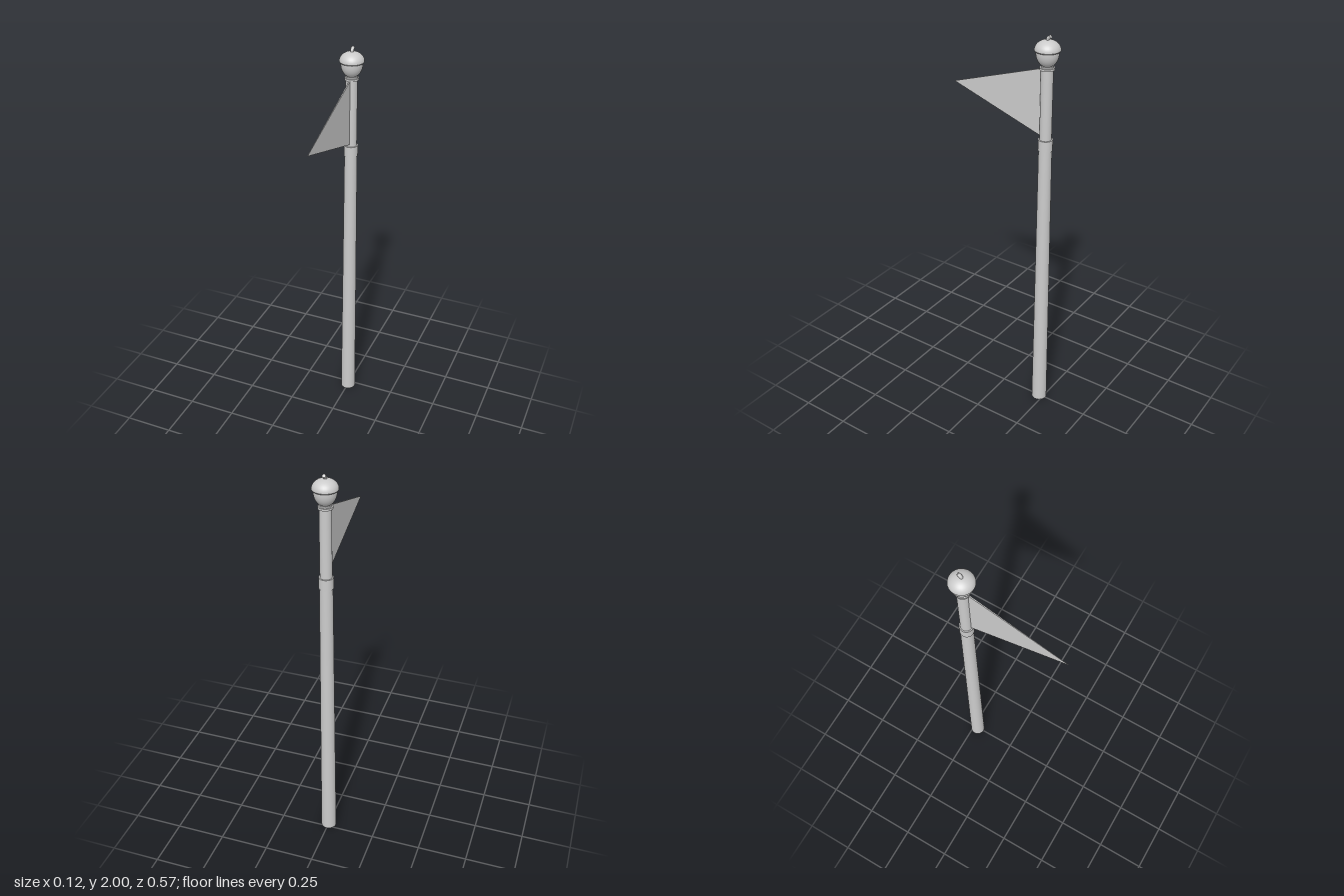
import * as THREE from 'three';

const POLE_Z = -0.226;

export function createModel() {
  const group = new THREE.Group();
  const material = new THREE.MeshStandardMaterial({ color: 0xcccccc });
  const sheet = new THREE.MeshStandardMaterial({ color: 0xcccccc, side: THREE.DoubleSide, flatShading: true });

  const add = (name, geometry, mat = material) => {
    const mesh = new THREE.Mesh(geometry, mat);
    mesh.name = name;
    group.add(mesh);
    return mesh;
  };
  // Solid of revolution around the pole axis; points are [radius, height]
  const turned = (name, points) => {
    const profile = points.map(([r, y]) => new THREE.Vector2(r, y));
    add(name, new THREE.LatheGeometry(profile, 32)).position.z = POLE_Z;
  };
  // Tapered round section between two heights
  const section = (name, y0, y1, r0, r1) => {
    const mesh = add(name, new THREE.CylinderGeometry(r1, r0, y1 - y0, 32));
    mesh.position.set(0, (y0 + y1) / 2, POLE_Z);
  };

  // Pole: tapered shaft, joint sleeve and slimmer upper staff
  section('lowerPole', 0, 1.46, 0.039, 0.031);
  section('jointSleeve', 1.455, 1.51, 0.034, 0.034);
  section('upperPole', 1.5, 1.86, 0.028, 0.028);
  section('neckRing', 1.843, 1.853, 0.034, 0.034);

  // Acorn finial: rounded nut, overhanging cap and bent stem
  const nut = [[0, 1.85], [0.022, 1.853]];
  for (let i = 2; i <= 10; i++) {
    const a = -Math.PI / 2 + (i / 10) * (Math.PI / 2);
    nut.push([0.052 * Math.cos(a), 1.92 + 0.066 * Math.sin(a)]);
  }
  nut.push([0.052, 1.935]);
  turned('finialNut', nut);

  const cap = [];
  for (let i = 0; i <= 10; i++) {
    const a = (i / 10) * (Math.PI / 2);
    cap.push([0.059 * Math.cos(a), 1.932 + 0.045 * Math.sin(a)]);
  }
  turned('finialCap', cap);
  turned('finialCapRim', [[0.045, 1.928], [0.057, 1.928], [0.059, 1.932]]);

  const stemPath = new THREE.CatmullRomCurve3([
    new THREE.Vector3(0, 1.968, POLE_Z + 0.002),
    new THREE.Vector3(0, 1.983, POLE_Z - 0.001),
    new THREE.Vector3(0, 1.994, POLE_Z - 0.014),
  ]);
  add('finialStem', new THREE.TubeGeometry(stemPath, 10, 0.008, 14));
  const stemEnd = add('finialStemEnd', new THREE.CircleGeometry(0.008, 14));
  stemEnd.position.copy(stemPath.getPoint(1));
  stemEnd.lookAt(stemEnd.position.clone().add(stemPath.getTangent(1)));

  // Pennant: thin triangle, thinning from the pole to the tip
  const outline = new THREE.Shape([
    new THREE.Vector2(-0.205, 1.52),
    new THREE.Vector2(0.285, 1.68),
    new THREE.Vector2(-0.205, 1.845),
  ]);
  const flag = new THREE.ExtrudeGeometry(outline, { depth: 1, bevelEnabled: false });
  const p = flag.attributes.position;
  for (let i = 0; i < p.count; i++) {
    const z = p.getX(i);
    const half = z > 0 ? 0.0005 : 0.003;
    p.setXYZ(i, p.getZ(i) > 0.5 ? -half : half, p.getY(i), z);
  }
  flag.computeVertexNormals();
  add('pennant', flag, sheet);

  return group;
}
